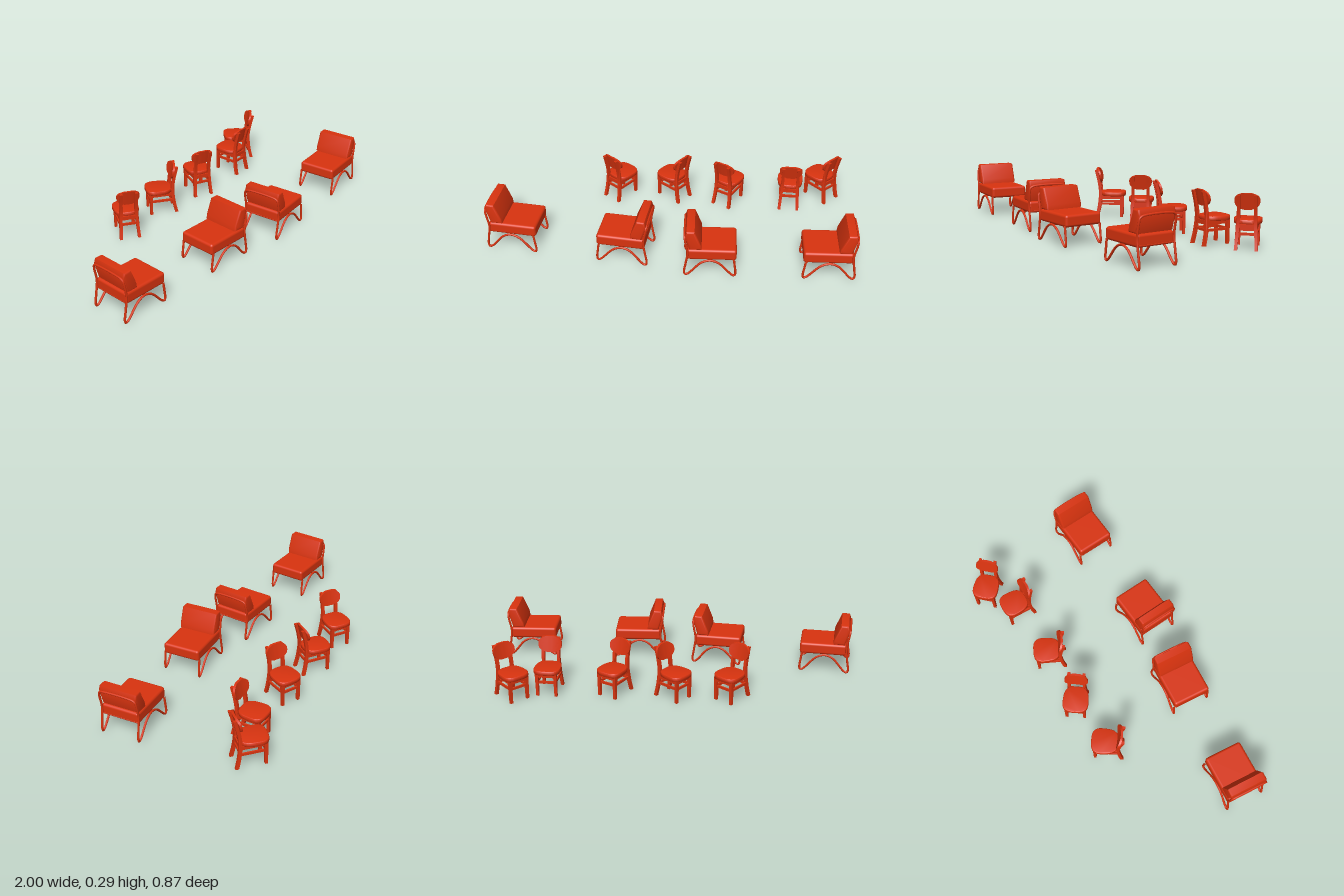
import * as THREE from 'three';
import { RoundedBoxGeometry } from 'three/addons/geometries/RoundedBoxGeometry.js';
import { toCreasedNormals } from 'three/addons/utils/BufferGeometryUtils.js';

const red = new THREE.MeshStandardMaterial({ color: 0xd8330f });
const v3 = (x, y, z) => new THREE.Vector3(x, y, z);

function add(group, name, geometry, x = 0, y = 0, z = 0) {
  const mesh = new THREE.Mesh(geometry, red);
  mesh.name = name;
  mesh.position.set(x, y, z);
  group.add(mesh);
  return mesh;
}

const shapeOf = (pts) => new THREE.Shape(pts.map(([x, y]) => new THREE.Vector2(x, y)));

// Lounge chair: faces +x, tubular frame with two cushions
function loungeChair() {
  const g = new THREE.Group();
  g.name = 'loungeChair';
  add(g, 'seatCushion', new RoundedBoxGeometry(0.262, 0.064, 0.214, 4, 0.014), 0.009, 0.138, 0);

  // Back cushion: leaning profile extruded across the width
  const inset = 0.01;
  const back = new THREE.ExtrudeGeometry(
    shapeOf([[-0.102, 0.18], [-0.056, 0.18], [-0.058, 0.195], [-0.09, 0.275], [-0.118, 0.275], [-0.124, 0.258]]),
    { depth: 0.214 - 2 * inset, bevelThickness: inset, bevelSize: inset, bevelSegments: 4 });
  back.translate(0, 0, -0.107 + inset);
  add(g, 'backCushion', toCreasedNormals(back, 0.7));

  // One continuous tube: front leg, W-shaped side, back hoop and the other side
  const side = [
    [0.126, 0.115], [0.132, 0.07], [0.137, 0.022], [0.132, 0.007], [0.118, 0.012],
    [0.045, 0.088], [0.0, 0.104], [-0.045, 0.088],
    [-0.115, 0.012], [-0.13, 0.007], [-0.136, 0.022], [-0.128, 0.08], [-0.119, 0.15], [-0.131, 0.225],
  ];
  const half = side.map(([x, y]) => [x, y, 0.106]);
  half.push([-0.134, 0.247, 0.102], [-0.135, 0.256, 0.088]);
  const path = [
    ...half.map(([x, y, z]) => v3(x, y, z)),
    ...half.slice().reverse().map(([x, y, z]) => v3(x, y, -z)),
  ];
  const curve = new THREE.CatmullRomCurve3(path, false, 'centripetal');
  add(g, 'frameTube', new THREE.TubeGeometry(curve, 220, 0.006, 8));

  // Cross bars under the seat
  for (const [x, y] of [[0.0, 0.104], [0.122, 0.112], [-0.118, 0.115]]) {
    const bar = add(g, 'crossBar', new THREE.CylinderGeometry(0.005, 0.005, 0.212, 8), x, y, 0);
    bar.rotation.x = Math.PI / 2;
  }
  return g;
}

// Dining chair: faces +z, wooden frame with a rounded seat and oval backrest
function diningChair() {
  const g = new THREE.Group();
  g.name = 'diningChair';

  // Rounded-square seat, slightly narrower at the back
  const outline = [];
  for (let i = 0; i < 40; i++) {
    const a = (i / 40) * Math.PI * 2;
    const c = Math.cos(a), s = Math.sin(a);
    const z = 0.071 * Math.sign(s) * Math.abs(s) ** 0.65;
    outline.push([0.067 * Math.sign(c) * Math.abs(c) ** 0.65 * (1 + z), -z]);
  }
  const seat = new THREE.ExtrudeGeometry(shapeOf(outline),
    { depth: 0.014, bevelThickness: 0.005, bevelSize: 0.004, bevelSegments: 3 });
  seat.rotateX(-Math.PI / 2);
  add(g, 'seat', toCreasedNormals(seat, 0.7), 0, 0.137, 0);

  // Curved back posts running from the floor to the backrest
  const spine = new THREE.CatmullRomCurve3(
    [[0.005, -0.096], [0.07, -0.082], [0.15, -0.075], [0.21, -0.082], [0.285, -0.1]].map(([y, z]) => v3(0, y, z)));
  const pts = spine.getPoints(16);
  const post = shapeOf([
    ...pts.map((p) => [p.z - 0.009, p.y]),
    ...pts.slice().reverse().map((p) => [p.z + 0.009, p.y]),
  ]);
  for (const s of [-1, 1]) {
    const geo = new THREE.ExtrudeGeometry(post, { depth: 0.016, bevelEnabled: false });
    geo.rotateY(-Math.PI / 2);
    geo.translate(0.008, 0, 0);
    // Feet spread slightly outwards
    const pos = geo.attributes.position;
    for (let i = 0; i < pos.count; i++) {
      const y = pos.getY(i);
      pos.setX(i, pos.getX(i) + s * (0.042 + 0.01 * Math.max(0, 1 - y / 0.16)));
    }
    // Extruded profile runs along x, so its depth axis is put back on z
    add(g, 'backPost', toCreasedNormals(geo, 0.6));
    const leg = new THREE.CylinderGeometry(0.0125, 0.0105, 0.135, 4);
    leg.rotateY(Math.PI / 4);
    add(g, 'frontLeg', toCreasedNormals(leg, 0.5), s * 0.05, 0.0725, 0.052);
    add(g, 'sideStretcher', new THREE.BoxGeometry(0.009, 0.013, 0.132), s * 0.049, 0.085, -0.014);
    add(g, 'sideApron', new THREE.BoxGeometry(0.01, 0.022, 0.126), s * 0.048, 0.124, -0.012);
  }
  for (const z of [0.052, -0.076]) {
    add(g, 'crossStretcher', new THREE.BoxGeometry(0.094, 0.013, 0.009), 0, 0.085, z);
    add(g, 'crossApron', new THREE.BoxGeometry(0.09, 0.022, 0.01), 0, 0.124, z);
  }

  // Oval backrest: a subdivided slab narrowed by height and curved around the sitter
  const rest = new THREE.BoxGeometry(1, 1, 0.012, 16, 18, 1);
  const pos = rest.attributes.position;
  for (let i = 0; i < pos.count; i++) {
    const t = pos.getY(i);
    const width = 0.128 * Math.max(0.35, (1 - Math.abs(2 * t) ** 2.6) ** (1 / 2.2)) * (1 + 0.1 * t);
    const x = pos.getX(i) * width;
    const y = 0.252 + t * 0.086;
    pos.setXYZ(i, x, y, pos.getZ(i) - 0.084 - 0.22 * (y - 0.252) + 2.5 * x * x);
  }
  add(g, 'backrest', toCreasedNormals(rest, 0.6));
  return g;
}

export function createModel() {
  const model = new THREE.Group();
  model.name = 'chairSet';

  // Lounge chairs: x, z, turn
  for (const [x, z, turn] of [
    [-0.843, 0.145, -0.14],
    [-0.232, 0.232, Math.PI - 0.14],
    [0.227, 0.316, 0],
    [0.857, 0.316, Math.PI],
  ]) {
    const chair = loungeChair();
    chair.position.set(x, 0, z);
    chair.rotation.y = turn;
    model.add(chair);
  }

  // Dining chairs: x, z of the seat and the direction each one faces
  for (const [x, z, fx, fz] of [
    [-0.294, -0.325, 0.62, -0.78],
    [-0.005, -0.32, -0.77, -0.64],
    [0.334, -0.288, 0.5, -0.86],
    [0.683, -0.281, 0.08, -1],
    [0.86, -0.357, -0.68, -0.73],
  ]) {
    const chair = diningChair();
    chair.position.set(x, 0, z);
    chair.rotation.y = Math.atan2(fx, fz);
    model.add(chair);
  }
  return model;
}
